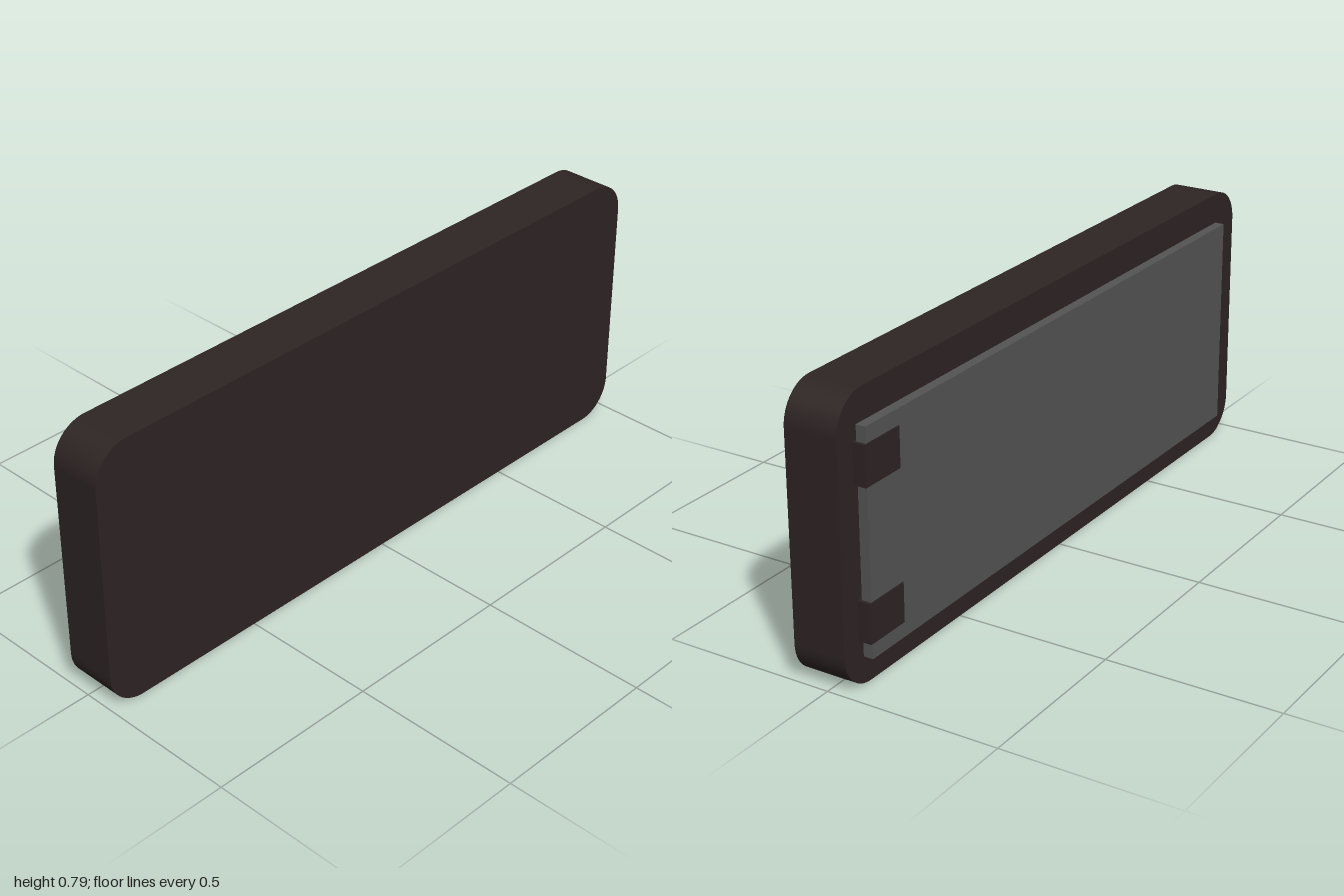
import * as THREE from 'three';

const darkBrown = new THREE.MeshStandardMaterial({ name: 'dark brown', color: 0x2e2424 });
const grey = new THREE.MeshStandardMaterial({ name: 'grey', color: 0x545454 });

// Box given by its limits on each axis
function block(name, material, [x0, x1], [y0, y1], [z0, z1]) {
  const mesh = new THREE.Mesh(new THREE.BoxGeometry(x1 - x0, y1 - y0, z1 - z0), material);
  mesh.position.set((x0 + x1) / 2, (y0 + y1) / 2, (z0 + z1) / 2);
  mesh.name = name;
  return mesh;
}

// Rounded slab with smooth corners and sharp front and back rims
function roundedSlab(width, height, depth, r) {
  const w = width / 2;
  const s = new THREE.Shape();
  s.moveTo(-w + r, 0);
  s.lineTo(w - r, 0);
  s.absarc(w - r, r, r, -Math.PI / 2, 0);
  s.lineTo(w, height - r);
  s.absarc(w - r, height - r, r, 0, Math.PI / 2);
  s.lineTo(-w + r, height);
  s.absarc(-w + r, height - r, r, Math.PI / 2, Math.PI);
  s.lineTo(-w, r);
  s.absarc(-w + r, r, r, Math.PI, Math.PI * 1.5);
  return new THREE.ExtrudeGeometry(s, { depth, bevelEnabled: false, curveSegments: 16 });
}

export function createModel() {
  const model = new THREE.Group();
  model.name = 'hingedPanel';

  // Thick rounded body
  const body = new THREE.Mesh(roundedSlab(2, 0.79, 0.154, 0.105), darkBrown);
  body.name = 'body';
  body.position.z = -0.057;
  model.add(body);

  // Back plate, held just clear of the body
  model.add(block('backPlate', grey, [-0.875, 0.932], [0.085, 0.706], [-0.092, -0.064]));

  // Spacers in the gap behind the plate
  model.add(block('greySpacer', grey, [-0.1, 0.16], [0.28, 0.55], [-0.064, -0.057]));
  model.add(block('darkSpacer', darkBrown, [0.16, 0.46], [0.28, 0.55], [-0.064, -0.057]));

  // Two clips wrapping the plate edge
  for (const y of [0.129, 0.55]) {
    model.add(block('clip', darkBrown, [0.8, 0.94], [y, y + 0.112], [-0.095, -0.057]));
  }
  return model;
}
